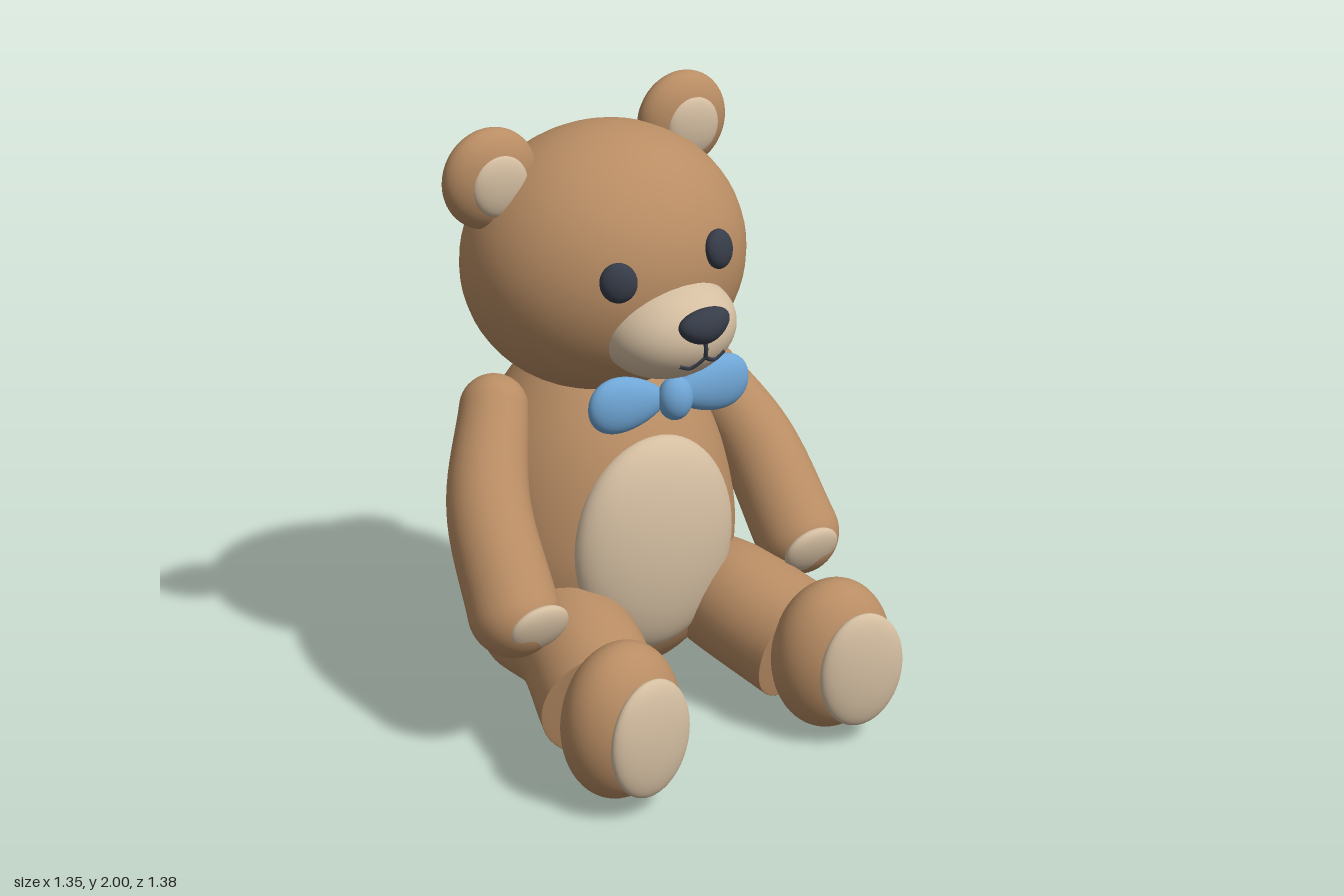
import * as THREE from 'three';
import { mergeVertices } from 'three/addons/utils/BufferGeometryUtils.js';

const material = (name, color) => {
  const m = new THREE.MeshStandardMaterial({ color });
  m.name = name;
  return m;
};

// Capsule bent along a curve through [x, y, z, radius] stations; endCap flattens the far cap
function limbGeometry(stations, endCap = 1) {
  const path = new THREE.CatmullRomCurve3(stations.map(s => new THREE.Vector3(s[0], s[1], s[2])));
  const radii = new THREE.CatmullRomCurve3(stations.map((s, i) => new THREE.Vector3(s[3], i, 0)));
  let geo = new THREE.CapsuleGeometry(1, 4, 12, 40, 20);
  const pos = geo.attributes.position;
  const v = new THREE.Vector3();
  for (let i = 0; i < pos.count; i++) {
    v.fromBufferAttribute(pos, i);
    const shaft = THREE.MathUtils.clamp(v.y, -2, 2);
    const t = shaft / 4 + 0.5;
    const r = radii.getPoint(t).x;
    const along = (v.y - shaft) * (v.y > 0 ? endCap : 1) * r;
    const T = path.getTangent(t);
    const U = new THREE.Vector3(1, 0, 0).addScaledVector(T, -T.x).normalize();
    const V = new THREE.Vector3().crossVectors(U, T);
    const p = path.getPoint(t).addScaledVector(T, along)
      .addScaledVector(U, v.x * r).addScaledVector(V, v.z * r);
    pos.setXYZ(i, p.x, p.y, p.z);
  }
  geo.deleteAttribute('uv');
  geo.deleteAttribute('normal');
  geo = mergeVertices(geo, 1e-5);
  geo.computeVertexNormals();
  return geo;
}

// Sphere whose vertices are moved by a rule
function shapedSphere(rule) {
  const geo = new THREE.SphereGeometry(1, 40, 28);
  const pos = geo.attributes.position;
  for (let i = 0; i < pos.count; i++) pos.setXYZ(i, ...rule(pos.getX(i), pos.getY(i), pos.getZ(i)));
  geo.computeVertexNormals();
  return geo;
}

export function createModel() {
  const fur = material('brown fur', 0xb98d64);
  const cream = material('cream plush', 0xd4bea1);
  const dark = material('dark plastic', 0x363c48);
  const blue = material('blue satin', 0x6fa6d6);

  const model = new THREE.Group();
  model.name = 'teddyBear';
  const ball = new THREE.SphereGeometry(1, 48, 32);

  const add = (parent, name, geo, mat, pos = [0, 0, 0], scale = [1, 1, 1], rot = [0, 0, 0]) => {
    const mesh = new THREE.Mesh(geo, mat);
    mesh.name = name;
    mesh.position.set(...pos);
    mesh.scale.set(...scale);
    mesh.rotation.set(...rot);
    parent.add(mesh);
    return mesh;
  };

  // Pear-shaped body
  const profile = new THREE.SplineCurve([
    [0, 0.05], [0.14, 0.064], [0.28, 0.13], [0.39, 0.29], [0.43, 0.53], [0.385, 0.8],
    [0.29, 1.01], [0.15, 1.18], [0, 1.23],
  ].map(p => new THREE.Vector2(...p))).getPoints(48);
  profile.forEach(p => { p.x = Math.max(p.x, 0); });
  add(model, 'body', new THREE.LatheGeometry(profile, 56), fur, [0, 0, -0.26], [1.07, 1, 1]);
  add(model, 'bellyPatch', ball, cream, [0, 0.577, 0.073], [0.29, 0.358, 0.115]);

  // Head, tilted to one side about the neck
  const head = new THREE.Group();
  head.name = 'head';
  head.position.set(0, 1.1, 0);
  head.rotation.z = 0.12;
  model.add(head);
  add(head, 'skull', ball, fur, [0, 0.38, -0.137], [0.455, 0.412, 0.4]);
  add(head, 'muzzle', ball, cream, [0, 0.24, 0.19], [0.21, 0.15, 0.197]);
  const noseShape = shapedSphere((x, y, z) => [x * (1 + 0.25 * y), y, z]);
  add(head, 'nose', noseShape, dark, [0, 0.297, 0.39], [0.083, 0.053, 0.045]);

  // Mouth lines lying on the muzzle
  const onMuzzle = (x, y) => new THREE.Vector3(x, y,
    0.19 + 0.197 * Math.sqrt(1 - (x / 0.21) ** 2 - ((y - 0.24) / 0.15) ** 2));
  const stitch = (name, points) => add(head, name, new THREE.TubeGeometry(
    new THREE.CatmullRomCurve3(points.map(p => onMuzzle(...p))), 16, 0.007, 8), dark);
  stitch('mouthCentre', [[0, 0.25], [0, 0.222], [0, 0.194]]);

  for (const [side, s] of [['left', 1], ['right', -1]]) {
    stitch(side + 'MouthCurve', [[0, 0.195], [s * 0.022, 0.178], [s * 0.045, 0.168], [s * 0.08, 0.184]]);
    add(head, side + 'Eye', ball, dark, [s * 0.178, 0.442, 0.232], [0.056, 0.06, 0.033], [-0.12, s * 0.38, 0]);
    add(head, side + 'Ear', ball, fur, [s * 0.343, 0.715, -0.16], [0.155, 0.155, 0.08], [0.07, 0, 0]);
    add(head, side + 'InnerEar', ball, cream, [s * 0.343, 0.705, -0.1], [0.092, 0.095, 0.03], [0.07, 0, 0]);

    // Arm and paw pad
    add(model, side + 'Arm', limbGeometry([
      [s * 0.38, 1.005, -0.25, 0.108], [s * 0.5, 0.76, -0.085, 0.13], [s * 0.533, 0.495, 0.11, 0.14],
    ]), fur);
    add(model, side + 'HandPad', ball, cream, [s * 0.51, 0.48, 0.222], [0.1, 0.085, 0.032], [0.36, 0, 0]);

    // Leg, foot and sole
    add(model, side + 'Leg', limbGeometry([
      [s * 0.31, 0.28, -0.16, 0.165], [s * 0.3, 0.305, 0.08, 0.19], [s * 0.37, 0.24, 0.355, 0.195],
    ], 0.02), fur);
    add(model, side + 'Foot', ball, fur, [s * 0.392, 0.258, 0.49], [0.2, 0.25, 0.147], [0, s * -0.12, 0]);
    add(model, side + 'Sole', ball, cream, [s * 0.39, 0.265, 0.645], [0.146, 0.19, 0.045], [0, s * -0.12, 0]);
  }

  // Bow tie: two lobes pinched towards the knot
  const bow = new THREE.Group();
  bow.name = 'bowTie';
  bow.position.set(0, 1.1, 0);
  model.add(bow);
  const lobe = shapedSphere((x, y, z) => [x, y * (1 + 0.3 * x), z * (1 + 0.15 * x)]);
  add(bow, 'leftLobe', lobe, blue, [0.152, 0.003, 0.16], [0.137, 0.085, 0.045], [0, 0, 0.06]);
  add(bow, 'rightLobe', lobe, blue, [-0.152, 0.003, 0.16], [0.137, 0.085, 0.045], [0, Math.PI, 0.06]);
  add(bow, 'knot', ball, blue, [0, 0, 0.19], [0.057, 0.07, 0.048]);

  return model;
}
